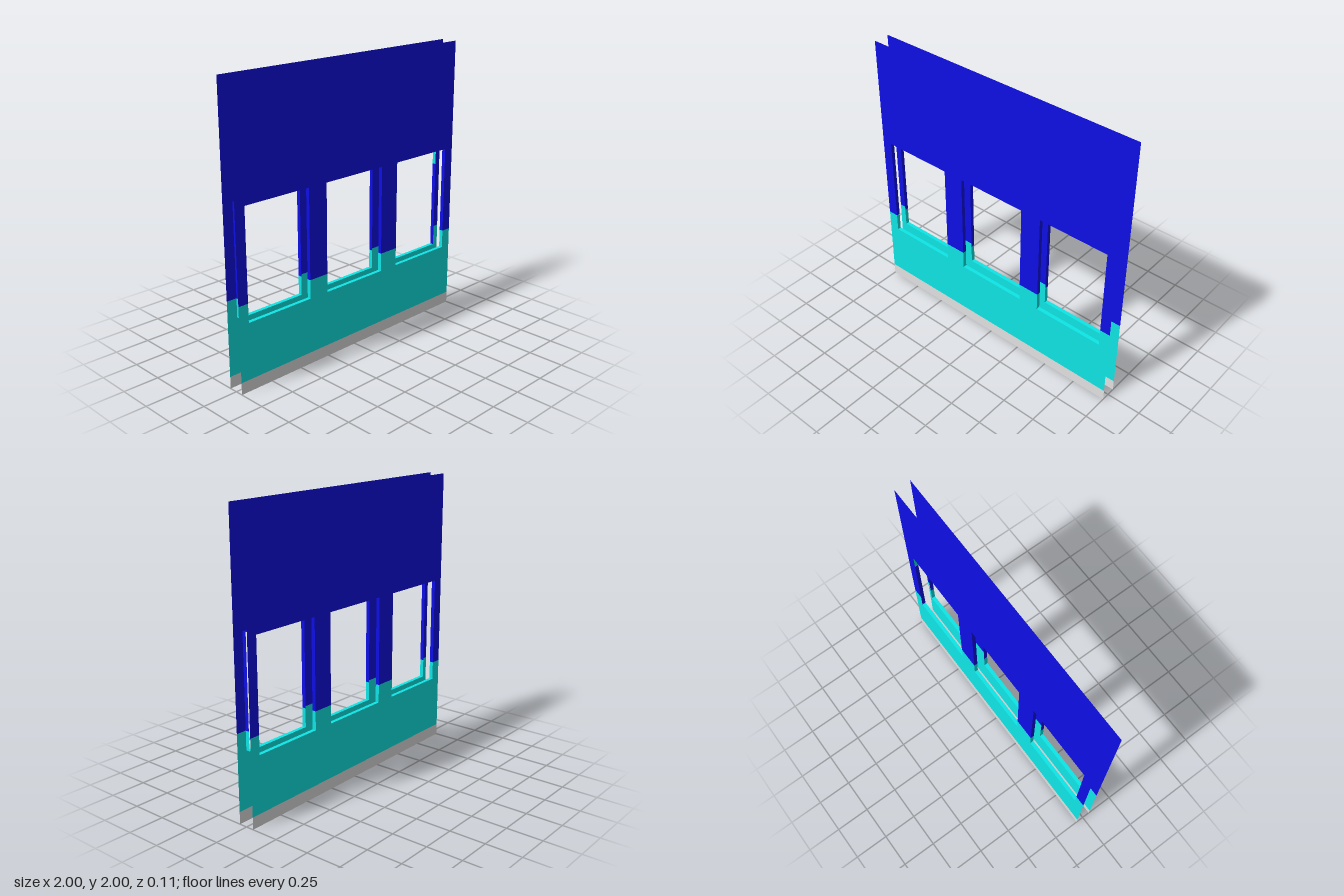
import * as THREE from 'three';

const WINDOWS = [[-0.925, -0.41], [-0.258, 0.258], [0.41, 0.925]];
const SILL = 0.47, HEAD = 1.228, SPLIT = 0.6, BASE = 0.082, TOP = 2;
const OUTER = 0.057, DEPTH = 0.027;

const mat = (name, color) =>
  new THREE.MeshStandardMaterial({ name, color, side: THREE.DoubleSide });

// Band from a straight edge to the colour split, notched by the windows
function notchedBand(straightY, notchY) {
  const s = new THREE.Shape();
  s.moveTo(-1, straightY);
  s.lineTo(-1, SPLIT);
  for (const [a, b] of WINDOWS) {
    s.lineTo(a, SPLIT);
    s.lineTo(a, notchY);
    s.lineTo(b, notchY);
    s.lineTo(b, SPLIT);
  }
  s.lineTo(1, SPLIT);
  s.lineTo(1, straightY);
  s.closePath();
  return new THREE.ShapeGeometry(s);
}

export function createModel() {
  const model = new THREE.Group();
  model.name = 'windowWall';
  const blue = mat('blue paint', 0x0e0ee6);
  const cyan = mat('cyan paint', 0x0fe6e6);
  const grey = mat('grey base', 0xe2e2e2);

  const add = (parent, name, geometry, material) => {
    const mesh = new THREE.Mesh(geometry, material);
    mesh.name = name;
    parent.add(mesh);
    return mesh;
  };

  // One wall sheet, facing +z, with reveals running inwards
  function wall(name, isBack) {
    const g = new THREE.Group();
    g.name = name;
    add(g, 'upperPanel', notchedBand(TOP, HEAD), blue).position.z = OUTER;
    add(g, 'lowerPanel', notchedBand(BASE, SILL), cyan).position.z = OUTER;
    add(g, 'baseStrip', new THREE.PlaneGeometry(2, BASE), grey).position.set(0, BASE / 2, OUTER);

    const z = OUTER - DEPTH / 2;
    // Vertical side lining between two heights; dir is the way it faces
    const jamb = (x, y0, y1, dir, material) => {
      const m = add(g, 'windowJamb', new THREE.PlaneGeometry(DEPTH, y1 - y0), material);
      m.rotation.y = dir * Math.PI / 2;
      m.position.set(x, (y0 + y1) / 2, z);
    };
    // Horizontal lining
    const ledge = (part, a, b, y, dir, material) => {
      const m = add(g, part, new THREE.PlaneGeometry(b - a, DEPTH), material);
      m.rotation.x = -dir * Math.PI / 2;
      m.position.set((a + b) / 2, y, z);
    };
    WINDOWS.forEach(([a, b], i) => {
      ledge('windowSill', a, b, SILL, 1, cyan);
      ledge('windowHead', a, b, HEAD, -1, blue);
      for (const [x, dir] of [[a, 1], [b, -1]]) {
        // The end jamb of the back wall has its paint upside down
        const flipped = isBack && i === 0 && dir === 1;
        const split = flipped ? SILL + HEAD - SPLIT : SPLIT;
        jamb(x, SILL, split, dir, flipped ? blue : cyan);
        jamb(x, split, HEAD, dir, flipped ? cyan : blue);
      }
    });
    if (isBack) g.rotation.y = Math.PI;
    model.add(g);
  }

  wall('frontWall', false);
  wall('backWall', true);
  return model;
}
